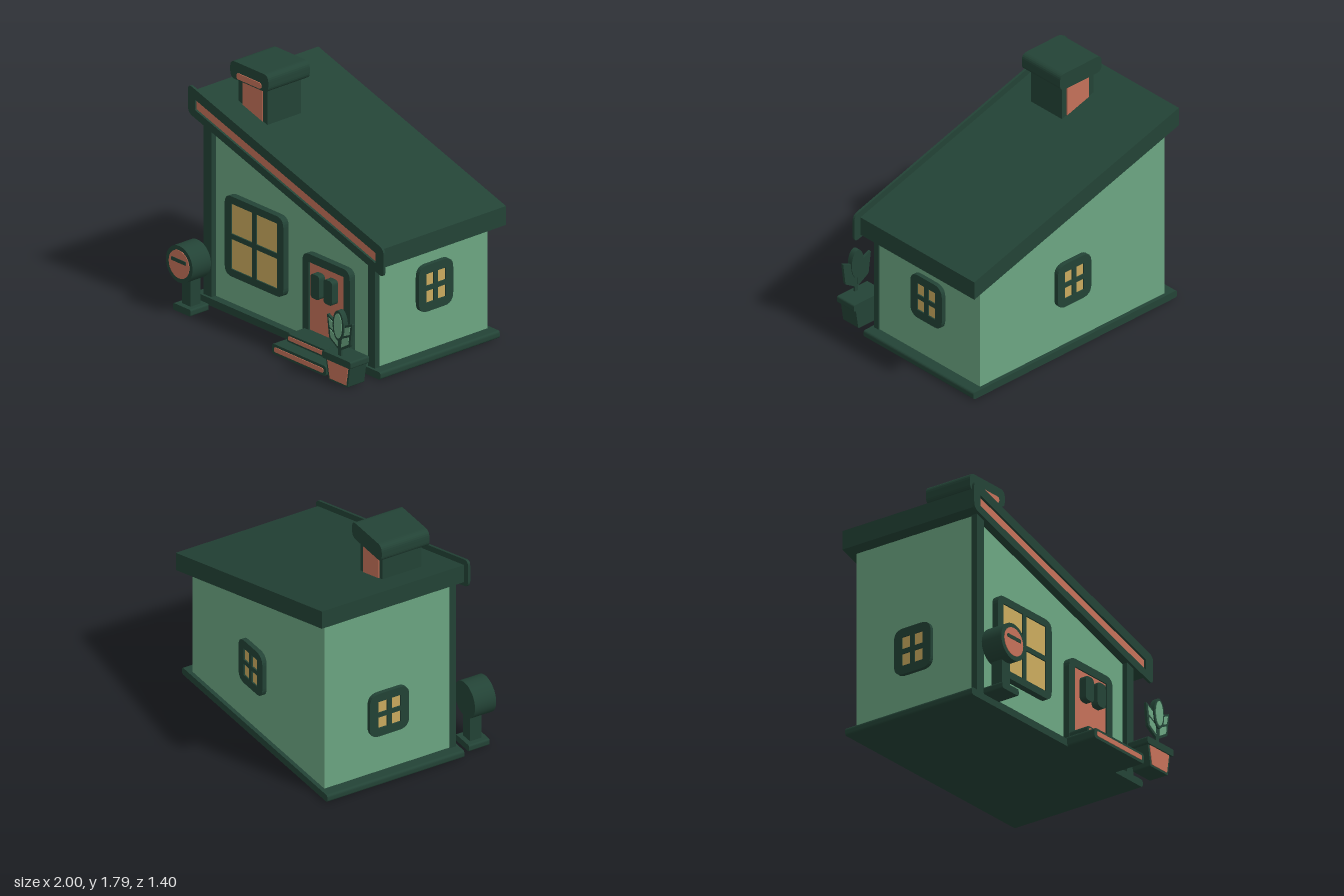
import * as THREE from 'three';

const mat = (name, color) => {
  const m = new THREE.MeshStandardMaterial({ color });
  m.name = name;
  return m;
};

// Polygon with softened corners
function roundedPoly(points, r, Type = THREE.Shape) {
  const s = new Type();
  const v = points.map(([x, y]) => new THREE.Vector2(x, y));
  v.forEach((p, i) => {
    const prev = v[(i + v.length - 1) % v.length], next = v[(i + 1) % v.length];
    const a = p.clone().add(prev.clone().sub(p).setLength(Math.max(r, 1e-4)));
    const b = p.clone().add(next.clone().sub(p).setLength(Math.max(r, 1e-4)));
    if (!r) return i ? s.lineTo(p.x, p.y) : s.moveTo(p.x, p.y);
    if (i) s.lineTo(a.x, a.y); else s.moveTo(a.x, a.y);
    s.quadraticCurveTo(p.x, p.y, b.x, b.y);
  });
  s.closePath();
  return s;
}
const rect = (x0, x1, y0, y1) => [[x0, y0], [x1, y0], [x1, y1], [x0, y1]];

export function createModel() {
  const house = new THREE.Group();
  house.name = 'cottage';
  const dark = mat('dark green trim', 0x234336);
  const green = mat('wall green', 0x6ca682);
  const coral = mat('coral', 0xc57159);
  const yellow = mat('window yellow', 0xcbab5e);

  const add = (name, geometry, material, parent = house) => {
    const m = new THREE.Mesh(geometry, material);
    m.name = name;
    parent.add(m);
    return m;
  };
  // Extrude an outline between two depths, with optional holes
  const slab = (name, points, r, z0, z1, material, parent, holes = []) => {
    const s = roundedPoly(points, r);
    holes.forEach(h => s.holes.push(roundedPoly(h, 0, THREE.Path)));
    const g = new THREE.ExtrudeGeometry(s, { depth: z1 - z0, bevelEnabled: false, curveSegments: 6 });
    return add(name, g.translate(0, 0, z0), material, parent);
  };
  const group = name => {
    const g = new THREE.Group();
    g.name = name;
    house.add(g);
    return g;
  };

  // Base and walls
  slab('basePlate', rect(-0.98, 0.93, 0, 0.055), 0.02, -0.665, 0.43, dark);
  const roofY = x => 1.555 - 0.2995 * (x + 0.965);
  const slope = (x0, x1, low, high) =>
    [[x0, roofY(x0) + low], [x1, roofY(x1) + low], [x1, roofY(x1) + high], [x0, roofY(x0) + high]];
  slab('walls', [[-0.89, 0.03], [0.84, 0.03], [0.84, roofY(0.84) - 0.1], [-0.89, roofY(-0.89) - 0.1]],
    0, -0.635, 0.37, green);
  for (const [x0, x1] of [[-0.9, -0.82], [0.78, 0.85]])
    slab('cornerPost', [[x0, 0.03], [x1, 0.03], [x1, roofY(x1) - 0.1], [x0, roofY(x0) - 0.1]],
      0, 0.365, 0.41, dark);

  // Sloping roof with framed front board
  slab('roof', slope(-0.965, 0.955, -0.14, 0), 0, -0.7, 0.435, dark);
  const strip = slope(-0.93, 0.92, -0.117, -0.04);
  slab('roofStripe', strip, 0, 0.435, 0.448, coral);
  slab('roofFrontFrame', slope(-1, 1, -0.178, 0.036), 0.045, 0.447, 0.465, dark, house, [strip]);

  // Chimney
  const chimney = group('chimney');
  slab('chimneyShaft', rect(-0.745, -0.45, 1.3, 1.68), 0, -0.08, 0.23, dark, chimney);
  for (const [z0, z1] of [[0.23, 0.236], [-0.086, -0.08]])
    slab('chimneyPanel', rect(-0.7, -0.495, 1.32, 1.66), 0, z0, z1, coral, chimney);
  slab('chimneyCap', rect(-0.79, -0.4, 1.66, 1.79), 0.05, -0.115, 0.266, dark, chimney);
  slab('capStripe', rect(-0.72, -0.47, 1.67, 1.715), 0.02, 0.266, 0.272, coral, chimney);

  // Four-pane windows, built facing +z around their own centre
  const makeWindow = (name, w, h, r, paneW, paneH, bar, depth) => {
    const g = group(name);
    const holes = [];
    for (const sx of [-1, 1]) for (const sy of [-1, 1]) {
      const xs = [sx * bar / 2, sx * paneW / 2].sort((a, b) => a - b);
      const ys = [sy * bar / 2, sy * paneH / 2].sort((a, b) => a - b);
      holes.push(rect(...xs, ...ys));
    }
    slab('windowFrame', rect(-w / 2, w / 2, -h / 2, h / 2), r, 0, depth, dark, g, holes);
    slab('windowGlass', rect(-paneW / 2, paneW / 2, -paneH / 2, paneH / 2), 0, depth - 0.018, depth - 0.01, yellow, g);
    return g;
  };
  makeWindow('frontWindow', 0.6, 0.595, 0.07, 0.475, 0.485, 0.038, 0.05).position.set(-0.375, 0.578, 0.37);
  const small = name => makeWindow(name, 0.315, 0.345, 0.08, 0.18, 0.215, 0.036, 0.035);
  const left = small('leftWindow');
  left.position.set(0.838, 0.527, -0.132);
  left.rotation.y = Math.PI / 2;
  const right = small('rightWindow');
  right.position.set(-0.885, 0.527, -0.132);
  right.rotation.y = -Math.PI / 2;
  const back = small('backWindow');
  back.position.set(0, 0.567, -0.65);
  back.rotation.y = Math.PI;

  // Door and steps
  const door = group('door');
  const opening = rect(0.185, 0.54, 0.13, 0.64);
  slab('doorFrame', rect(0.12, 0.605, 0.05, 0.7), 0.07, 0.365, 0.42, dark, door, [opening]);
  slab('doorLeaf', opening, 0, 0.39, 0.41, coral, door);
  for (const x of [0.295, 0.428])
    slab('doorPanel', rect(x - 0.045, x + 0.045, 0.41, 0.59), 0.03, 0.41, 0.463, dark, door);
  const steps = group('steps');
  slab('upperStep', rect(0.13, 0.59, 0.07, 0.135), 0.02, 0.4, 0.57, dark, steps);
  slab('upperStepStripe', rect(0.145, 0.565, 0.09, 0.12), 0.012, 0.57, 0.575, coral, steps);
  slab('lowerStep', rect(0.085, 0.635, 0, 0.075), 0.02, 0.4, 0.667, dark, steps);
  slab('lowerStepStripe', rect(0.11, 0.61, 0.02, 0.055), 0.012, 0.667, 0.672, coral, steps);

  // Round mailbox on a post
  const mailbox = group('mailbox');
  const drum = (name, r, z0, z1, m) =>
    add(name, new THREE.CylinderGeometry(r, r, z1 - z0, 40).rotateX(Math.PI / 2), m, mailbox)
      .position.set(-0.845, 0.37, (z0 + z1) / 2);
  drum('mailboxDrum', 0.136, 0.515, 0.684, dark);
  drum('mailboxFace', 0.104, 0.684, 0.688, coral);
  slab('mailSlot', rect(-0.92, -0.77, 0.383, 0.41), 0.008, 0.687, 0.692, dark, mailbox);
  slab('mailboxPost', rect(-0.89, -0.8, 0.03, 0.3), 0, 0.53, 0.62, dark, mailbox);
  slab('mailboxFoot', rect(-0.935, -0.755, 0, 0.05), 0.015, 0.495, 0.66, dark, mailbox);

  // Potted plant
  const plant = group('pottedPlant');
  slab('pot', [[0.685, 0], [0.88, 0], [0.905, 0.16], [0.655, 0.16]], 0.01, 0.535, 0.685, dark, plant);
  slab('potPanel', [[0.7, 0.015], [0.865, 0.015], [0.888, 0.155], [0.672, 0.155]], 0, 0.685, 0.69, coral, plant);
  slab('potRim', rect(0.635, 0.925, 0.153, 0.205), 0.015, 0.53, 0.7, dark, plant);
  slab('stem', rect(0.766, 0.796, 0.19, 0.4), 0, 0.658, 0.672, dark, plant);
  const cx = 0.782;
  for (const s of [-1, 1]) {
    const side = pts => {
      const p = pts.map(([x, y]) => [cx + s * x, y]);
      return s < 0 ? p.reverse() : p;
    };
    slab('sideLeaf', side([[0, 0.24], [0.108, 0.305], [0.13, 0.478], [0.012, 0.425]]), 0.01, 0.652, 0.672, dark, plant);
    slab('leafUpperPanel', side([[0.024, 0.355], [0.1, 0.39], [0.11, 0.452], [0.027, 0.415]]), 0, 0.672, 0.676, green, plant);
    slab('leafLowerPanel', side([[0.02, 0.272], [0.09, 0.315], [0.097, 0.372], [0.023, 0.337]]), 0, 0.672, 0.676, green, plant);
  }
  const oval = (name, rx, ry, z0, z1, m) =>
    add(name, new THREE.CylinderGeometry(1, 1, z1 - z0, 28).rotateX(Math.PI / 2).scale(rx, ry, 1), m, plant)
      .position.set(cx, 0.43, (z0 + z1) / 2);
  oval('middleLeaf', 0.056, 0.112, 0.645, 0.686, dark);
  oval('middleLeafPanel', 0.04, 0.092, 0.686, 0.69, green);

  return house;
}
